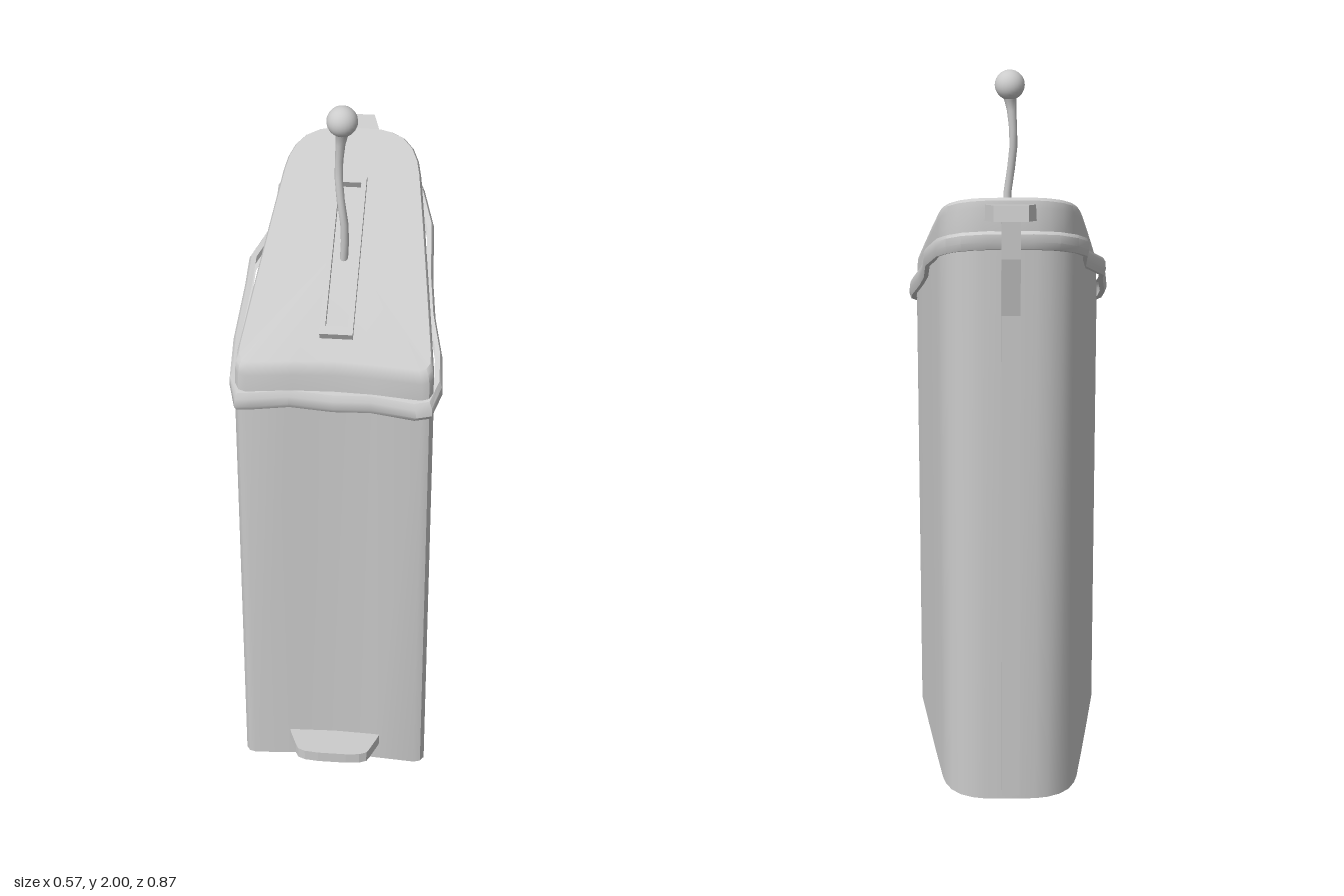
import * as THREE from 'three';
import { toCreasedNormals } from 'three/addons/utils/BufferGeometryUtils.js';

const SLOPE = 0.49;
const material = new THREE.MeshStandardMaterial({ color: 0xcccccc, side: THREE.DoubleSide });

// Skin closed rings of equal length, optionally closing the last one with a fan
function loft(rings, cap = false) {
  const n = rings[0].length, pos = [], index = [];
  rings.forEach((ring) => ring.forEach((p) => pos.push(...p)));
  for (let i = 0; i < rings.length - 1; i++) {
    for (let j = 0; j < n; j++) {
      const k = (j + 1) % n, a = i * n + j, b = i * n + k;
      index.push(a, b, b + n, a, b + n, a + n);
    }
  }
  if (cap) {
    const last = rings[rings.length - 1], base = (rings.length - 1) * n;
    pos.push(...[0, 1, 2].map((c) => last.reduce((s, p) => s + p[c], 0) / n));
    for (let j = 0; j < n; j++) index.push(base + j, base + ((j + 1) % n), rings.length * n);
  }
  const g = new THREE.BufferGeometry();
  g.setAttribute('position', new THREE.Float32BufferAttribute(pos, 3));
  g.setIndex(index);
  g.computeVertexNormals();
  return g;
}

// Scale a plan outline and lift it to the height given by a function of z
const ringAt = (outline, s, height) => outline.map(([x, z]) => [x * s, height(z * s), z * s]);
const polygon = (pts) => new THREE.Shape(pts.map(([x, y]) => new THREE.Vector2(x, y)));
const extrude = (shape, depth) => new THREE.ExtrudeGeometry(shape, { depth, bevelEnabled: false });

export function createModel() {
  const model = new THREE.Group();
  const add = (name, geometry, x = 0, y = 0, z = 0) => {
    const mesh = new THREE.Mesh(geometry, material);
    mesh.name = name;
    mesh.position.set(x, y, z);
    model.add(mesh);
    return mesh;
  };

  // Plan outline: wide slightly hollow front, tapering to a rounded back
  const half = [[0.11, 0.351], [0.235, 0.36], [0.254, 0.354], [0.264, 0.338], [0.263, 0.31],
    [0.24, 0.13], [0.215, -0.06], [0.193, -0.22], [0.184, -0.26], [0.167, -0.298],
    [0.14, -0.328], [0.105, -0.346], [0.07, -0.354]];
  const outline = [[0, 0.347], ...half, [0, -0.355],
    ...half.slice().reverse().map(([x, z]) => [-x, z])];

  // Open-bottomed body with a slanted top
  add('body', toCreasedNormals(loft([
    ringAt(outline, 1, () => 0),
    ringAt(outline, 1, (z) => 1.475 - 0.48 * z),
  ]), 0.7));

  // Slanted lid with a softened upper edge
  const lidTop = (z) => 1.567 - SLOPE * z;
  add('lid', toCreasedNormals(loft([
    ringAt(outline, 0.995, (z) => 1.475 - 0.48 * z),
    ringAt(outline, 0.99, (z) => lidTop(z) - 0.03),
    ringAt(outline, 0.98, (z) => lidTop(z) - 0.01),
    ringAt(outline, 0.955, lidTop),
  ], true), 0.6));

  // Uneven folded edge of the liner hanging out under the lid
  const liner = [[0, 0.368], [0.1, 0.365], [0.22, 0.38], [0.262, 0.372], [0.285, 0.31],
    [0.28, 0.22], [0.255, 0.12], [0.24, 0], [0.232, -0.15], [0.2, -0.25], [0.17, -0.32],
    [0.13, -0.358], [0.06, -0.374], [0, -0.37], [-0.06, -0.374], [-0.13, -0.362],
    [-0.18, -0.32], [-0.21, -0.25], [-0.212, -0.14], [-0.268, -0.035], [-0.27, 0.05],
    [-0.285, 0.2], [-0.282, 0.31], [-0.262, 0.375], [-0.22, 0.372], [-0.12, 0.36]];
  const linerRings = [[0.93, -0.025], [0.98, -0.027], [1, -0.01], [0.995, 0.012], [0.97, 0.023], [0.92, 0.02]];
  add('linerEdge', toCreasedNormals(loft(linerRings.map(([s, dy]) =>
    ringAt(liner, s, (z) => 1.458 - 0.48 * z + dy + 0.005 * Math.sin(z * 22)))), 0.6));

  // Raised rectangular frame on the lid
  const rect = (w, l) => [[-w, -l], [w, -l], [w, l], [-w, l]];
  const frame = polygon(rect(0.044, 0.253));
  frame.holes.push(new THREE.Path(rect(0.03, 0.228).reverse().map(([x, y]) => new THREE.Vector2(x, y))));
  add('lidFrame', extrude(frame, 0.028), 0, lidTop(0.04) - 0.006, 0.04)
    .rotation.x = -Math.PI / 2 + Math.atan(SLOPE);

  // Wavy stem flaring into a ball: x, y, z, radius
  const stem = [[0, 1.54, 0.042, 0.011], [0.003, 1.6, 0.046, 0.011], [0.002, 1.66, 0.054, 0.011],
    [-0.008, 1.73, 0.051, 0.011], [-0.014, 1.79, 0.039, 0.011], [-0.013, 1.84, 0.037, 0.011],
    [-0.009, 1.89, 0.041, 0.013], [-0.005, 1.92, 0.044, 0.017], [-0.004, 1.945, 0.045, 0.03]];
  add('stem', loft(stem.map(([x, y, z, r]) => Array.from({ length: 12 }, (_, i) => {
    const a = (i / 12) * Math.PI * 2;
    return [x + r * Math.sin(a), y, z + r * Math.cos(a)];
  }))));
  add('stemBall', new THREE.SphereGeometry(0.041, 24, 16), -0.004, 1.959, 0.045);

  // Foot pedal, shape drawn in plan with y as -z
  const pedal = [[0.138, -0.33], [0.128, -0.365], [0.108, -0.415], [0.1, -0.43], [0.08, -0.439], [0.04, -0.443]];
  const pedalShape = polygon([...pedal, ...pedal.slice().reverse().map(([x, y]) => [-x, y])]);
  add('pedal', extrude(pedalShape, 0.034).rotateX(-Math.PI / 2), 0, 0.06, 0);

  // Rear lift bar, drawn from the side and extruded across
  const bar = polygon([[0.35, 0.03], [0.392, 0.03], [0.392, 1.43], [0.424, 1.59], [0.424, 1.7],
    [0.386, 1.7], [0.386, 1.6], [0.354, 1.44]]);
  add('rearBar', extrude(bar, 0.05).translate(0, 0, -0.025).rotateY(Math.PI / 2));

  // Tapered bracket joining the bar to the lid
  const bracket = polygon([[-0.07, 0], [0.07, 0], [0.045, 0.09], [-0.045, 0.09]]);
  add('rearBracket', extrude(bracket, 0.042).rotateX(-Math.PI / 2 + 0.2), 0, 1.673, -0.343);

  return model;
}
